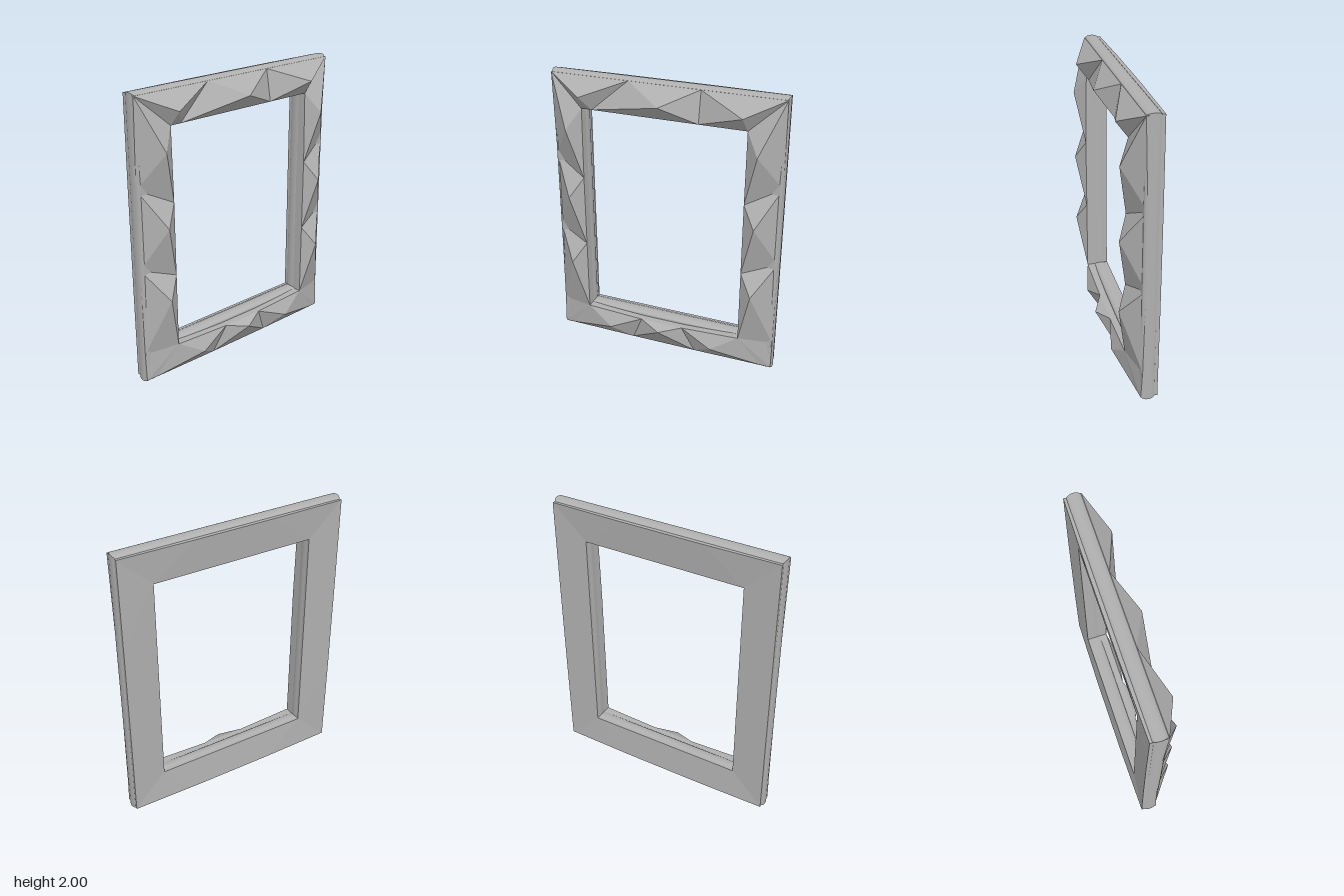
import * as THREE from 'three';

const grey = new THREE.MeshStandardMaterial({ color: 0xb0b0b0 });
grey.name = 'stone grey';

function mesh(name, geometry) {
  const m = new THREE.Mesh(geometry, grey);
  m.name = name;
  return m;
}

// A faceted block: a ring of corners, an optional apex, and walls down to zBase.
function facetBlock(ring, apex, zBase) {
  let area = 0;
  ring.forEach((p, i) => {
    const q = ring[(i + 1) % ring.length];
    area += p[0] * q[1] - q[0] * p[1];
  });
  const r = area < 0 ? [...ring].reverse() : ring;
  const pos = [];
  const tri = (a, b, c) => pos.push(...a, ...b, ...c);
  r.forEach((p, i) => {
    const q = r[(i + 1) % r.length];
    const pl = [p[0], p[1], zBase], ql = [q[0], q[1], zBase];
    if (apex) tri(apex, p, q);
    else if (i > 0 && i < r.length - 1) tri(r[0], p, q);
    tri(p, pl, q);
    tri(q, pl, ql);
  });
  const g = new THREE.BufferGeometry();
  g.setAttribute('position', new THREE.Float32BufferAttribute(pos, 3));
  g.computeVertexNormals();
  return g;
}

// One mitred rail of the core, swept between two frame corners.
function railGeometry(a, b) {
  const section = [];
  const steps = 10, bulge = 0.022, width = 0.245;
  for (let side = 0; side < 2; side++) {
    for (let i = 0; i <= steps; i++) {
      const t = -Math.PI / 2 + (Math.PI * i) / steps;
      const d = bulge * (1 - Math.cos(t)), z = -0.05 + 0.05 * Math.sin(t);
      section.push(side ? [width - d, -0.1 - z] : [d, z]);
    }
  }
  section.push(section[0]);
  const pos = [], index = [];
  section.forEach(([d, z], i) => {
    for (const [sx, sy] of [a, b]) pos.push(sx * (0.815 - d), 1 + sy * (1 - d), z);
    if (i < section.length - 1) {
      const k = 2 * i;
      index.push(k, k + 1, k + 2, k + 2, k + 1, k + 3);
    }
  });
  const g = new THREE.BufferGeometry();
  g.setAttribute('position', new THREE.Float32BufferAttribute(pos, 3));
  g.setIndex(index);
  g.computeVertexNormals();
  return g;
}

export function createModel() {
  const model = new THREE.Group();
  model.name = 'facetedFrame';

  // Rounded core
  const core = new THREE.Group();
  core.name = 'core';
  const corners = [[1, -1], [1, 1], [-1, 1], [-1, -1]];
  const railNames = ['rightRail', 'topRail', 'leftRail', 'bottomRail'];
  railNames.forEach((n, i) => core.add(mesh(n, railGeometry(corners[i], corners[(i + 1) % 4]))));
  model.add(core);

  // Front facets
  const front = new THREE.Group();
  front.name = 'frontFacets';
  const addFront = (name, ring, apex) => front.add(mesh(name, facetBlock(ring, apex, -0.04)));
  const flip = (p, s) => p && [p[0] * s, p[1], p[2]];
  const addPair = (name, ring, apex) => {
    for (const s of [1, -1]) addFront(name, ring.map((p) => flip(p, s)), flip(apex, s));
  };

  // Side pyramids, top to bottom
  const outer = [[0.81, 1.985, 0], [0.81, 1.39, -0.02], [0.81, 0.84, -0.02], [0.81, 0.22, -0.01]];
  const inner = [[0.575, 1.77, 0.04], [0.575, 1.27, 0.05], [0.575, 0.76, 0.05], [0.575, 0.235, 0.05]];
  [1.63, 1.13, 0.62].forEach((y, i) => {
    addPair('sideFacet', [inner[i], outer[i], outer[i + 1], inner[i + 1]], [0.665, y, 0.115]);
  });
  addPair('bottomCornerFacet', [inner[3], outer[3], [0.81, 0.02, 0]]);

  // Top pyramids, with the left joint slanted and the right one straight
  const tl = [-0.25, 1.985, 0], tr = [0.25, 1.985, 0];
  const bl = [-0.5, 1.77, 0.04], br = [0.25, 1.77, 0.04];
  addFront('topMiddleFacet', [tl, tr, br, bl], [0, 1.87, 0.118]);
  addFront('topRightFacet', [tr, outer[0], inner[0], br], [0.56, 1.87, 0.115]);
  addFront('topLeftFacet', [tl, flip(outer[0], -1), flip(inner[0], -1), bl], [-0.56, 1.87, 0.115]);

  // Bottom pyramids
  const low = [0.24, 0.02, 0.01], high = [0.155, 0.215, 0.05];
  addFront('bottomMiddleFacet', [flip(low, -1), low, high, flip(high, -1)], [0, 0.18, 0.12]);
  addPair('bottomFacet', [low, [0.74, 0.025, 0.01], inner[3], high], [0.385, 0.12, 0.095]);
  addPair('bottomMitreFacet', [[0.74, 0.025, 0.01], [0.81, 0.02, 0], inner[3]]);
  model.add(front);

  // Back plates: laid out facing forward, then turned round
  const back = new THREE.Group();
  back.name = 'backPlates';
  const addBack = (name, ring) => back.add(mesh(name, facetBlock(ring, null, 0.08).rotateY(Math.PI)));
  const at = (x, y, z) => (sx, sy) => [sx * x, 1 + sy * y, z];
  const innerCorner = at(0.57, 0.755, 0.103), outerCorner = at(0.805, 0.985, 0.115);
  const topPoint = at(0.29, 0.985, 0.123), sidePoint = at(0.805, 0.36, 0.118);
  for (const s of [1, -1]) {
    addBack('backCrossPlate', [topPoint(-1, s), topPoint(1, s), innerCorner(1, s), innerCorner(-1, s)]);
    addBack('backSidePlate', [sidePoint(s, -1), sidePoint(s, 1), innerCorner(s, 1), innerCorner(s, -1)]);
    for (const t of [1, -1]) {
      addBack('backCornerPlate', [topPoint(s, t), outerCorner(s, t), innerCorner(s, t)]);
      addBack('backCornerPlate', [outerCorner(s, t), sidePoint(s, t), innerCorner(s, t)]);
    }
  }
  model.add(back);
  return model;
}
